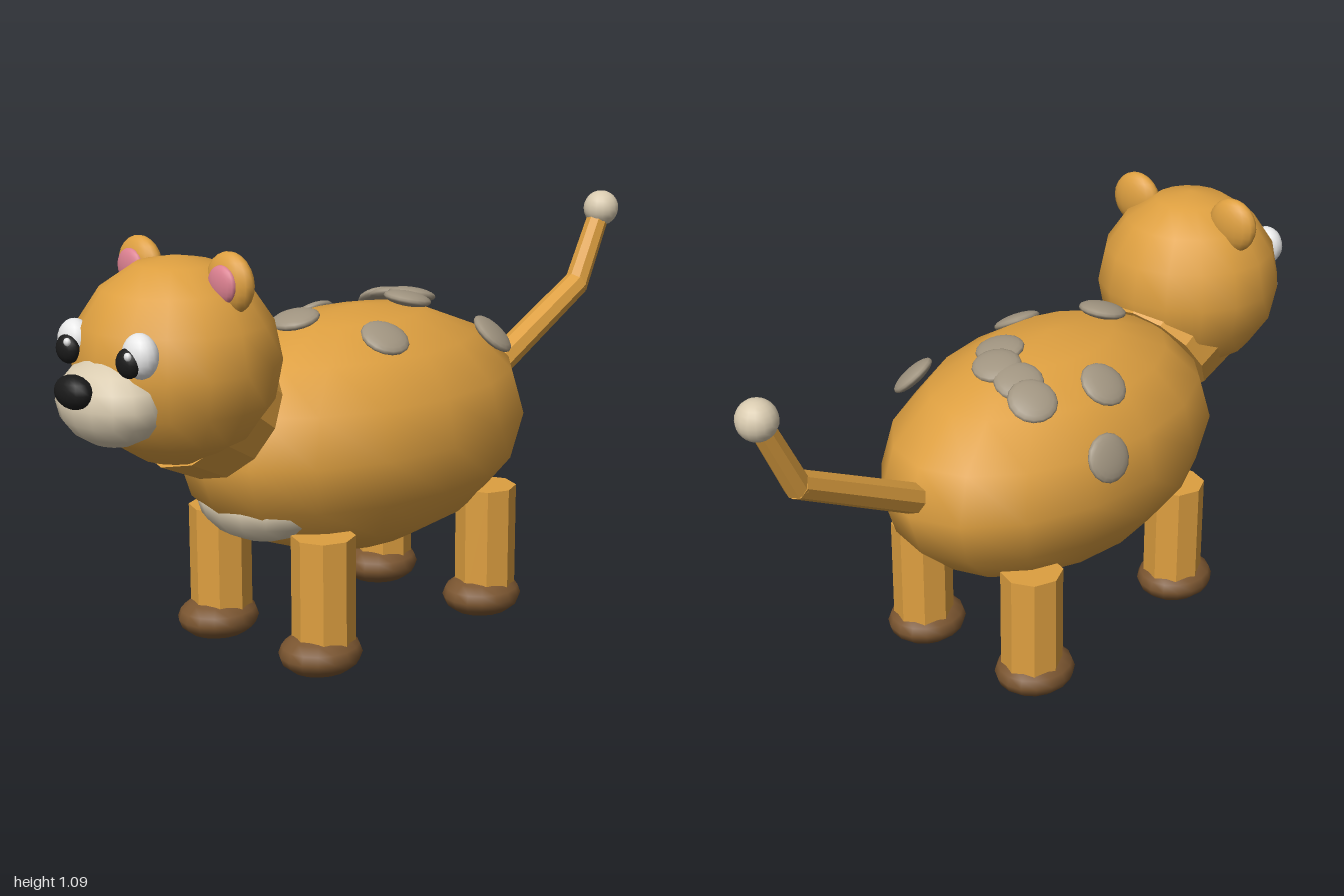
import * as THREE from 'three';

const mat = (name, color, flatShading = false) => {
  const m = new THREE.MeshStandardMaterial({ color, flatShading });
  m.name = name;
  return m;
};

export function createModel() {
  const model = new THREE.Group();
  model.name = 'bearCub';
  const fur = mat('orangeFur', 0xdd9f40);
  const cream = mat('cream', 0xd9cbb0);
  const grey = mat('greySpot', 0xa09480);
  const brown = mat('brownPaw', 0x7a5530);
  const pink = mat('pinkEar', 0xdb8090);
  const white = mat('eyeWhite', 0xeeeeee);
  const black = mat('black', 0x1a1a1a);

  const add = (name, geometry, material, pos) => {
    const mesh = new THREE.Mesh(geometry, material);
    mesh.name = name;
    mesh.position.set(...pos);
    model.add(mesh);
    return mesh;
  };
  const ellipsoid = (name, material, pos, radii, w = 16, h = 8) =>
    add(name, new THREE.SphereGeometry(1, w, h).scale(...radii), material, pos);

  // Faceted cylinder between two points
  const rod = (name, material, from, to, r0, r1, sides = 8) => {
    const a = new THREE.Vector3(...from), b = new THREE.Vector3(...to);
    const dir = b.clone().sub(a);
    const geo = new THREE.CylinderGeometry(r1, r0, dir.length(), sides).toNonIndexed();
    geo.computeVertexNormals();
    const mesh = add(name, geo, material, a.add(b).multiplyScalar(0.5).toArray());
    mesh.quaternion.setFromUnitVectors(new THREE.Vector3(0, 1, 0), dir.normalize());
    return mesh;
  };

  // Torso, belly patch, neck and head
  const center = [0, 0.55, 0.06], radii = [0.345, 0.315, 0.54];
  ellipsoid('body', fur, center, radii);
  ellipsoid('belly', cream, [0, 0.42, 0.4], [0.18, 0.1, 0.142]);
  rod('neck', fur, [0, 0.653, 0.504], [0, 0.725, 0.612], 0.168, 0.19, 12);
  ellipsoid('head', fur, [0, 0.82, 0.66], [0.25, 0.25, 0.25]);

  // Muzzle and nose
  ellipsoid('muzzle', cream, [0, 0.755, 0.86], [0.15, 0.105, 0.112]);
  ellipsoid('nose', black, [0, 0.795, 0.965], [0.057, 0.04, 0.035], 16, 10);

  for (const s of [1, -1]) {
    const side = s > 0 ? 'left' : 'right';
    // Ears
    ellipsoid(side + 'Ear', fur, [s * 0.16, 1.02, 0.63], [0.073, 0.073, 0.036], 16, 12);
    ellipsoid(side + 'InnerEar', pink, [s * 0.163, 1.02, 0.658], [0.045, 0.045, 0.018], 16, 12);
    // Eyes, with both highlights on the same side
    ellipsoid(side + 'Eye', white, [s * 0.117, 0.88, 0.865], [0.048, 0.053, 0.038], 16, 12);
    ellipsoid(side + 'Pupil', black, [s * 0.109, 0.867, 0.893], [0.035, 0.035, 0.024], 16, 12);
    ellipsoid(side + 'EyeHighlight', white, [s * 0.109 + 0.018, 0.887, 0.909], [0.01, 0.01, 0.008], 8, 6);
    // Legs and paws
    for (const [end, z] of [['Front', 0.368], ['Back', -0.237]]) {
      rod(side + end + 'Leg', fur, [s * 0.19, 0.05, z], [s * 0.19, 0.36, z], 0.08, 0.08);
      ellipsoid(side + end + 'Paw', brown, [s * 0.19, 0.06, z + 0.012], [0.1, 0.056, 0.11]);
    }
  }

  // Two-part tail with a round tip
  rod('tailBase', fur, [0, 0.595, -0.46], [0, 0.795, -0.84], 0.04, 0.036);
  rod('tailEnd', fur, [0, 0.785, -0.835], [0, 0.99, -0.94], 0.034, 0.03);
  ellipsoid('tailTip', cream, [0, 1, -0.945], [0.05, 0.05, 0.05], 16, 12);

  // Back spots, each tilted to follow the body
  const spots = [
    [-0.17, 0.82, -0.21], [-0.1, 0.84, -0.18], [-0.02, 0.855, -0.17],
    [0.03, 0.86, -0.1], [-0.31, 0.66, -0.085], [-0.22, 0.8, 0.005],
    [0.215, 0.775, -0.225], [0.175, 0.815, 0.135], [-0.01, 0.855, 0.265],
  ];
  for (const p of spots) {
    const spot = ellipsoid('backSpot', grey, p, [0.063, 0.019, 0.063], 16, 10);
    const normal = new THREE.Vector3(...p.map((v, i) => (v - center[i]) / radii[i] ** 2)).normalize();
    spot.quaternion.setFromUnitVectors(new THREE.Vector3(0, 1, 0), normal);
  }
  return model;
}
